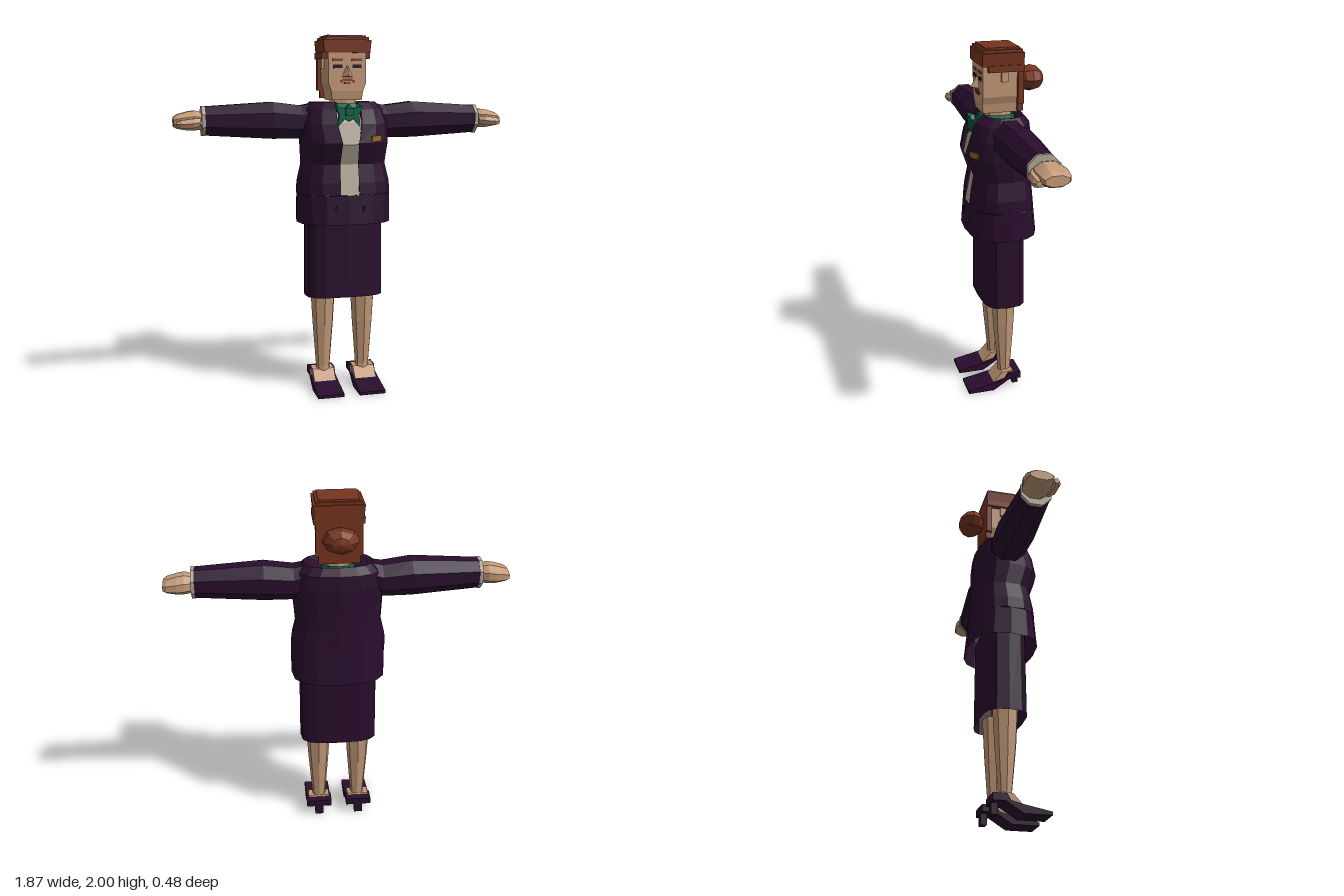
import * as THREE from 'three';

const mat = (name, color, side = THREE.FrontSide) => {
  const m = new THREE.MeshStandardMaterial({ color, flatShading: true, side });
  m.name = name;
  return m;
};

// Skin a list of rings (each a list of [x, y, z]); closed rings may be capped.
function loft(rings, { closed = true, caps = true } = {}) {
  const n = rings[0].length, pos = [];
  const tri = (a, b, c) => pos.push(...a, ...b, ...c);
  for (let i = 0; i < rings.length - 1; i++) {
    for (let j = 0; j < (closed ? n : n - 1); j++) {
      const k = (j + 1) % n, A = rings[i], B = rings[i + 1];
      tri(A[j], A[k], B[k]);
      tri(A[j], B[k], B[j]);
    }
  }
  if (closed && caps) {
    [rings[0], rings[rings.length - 1]].forEach((r, end) => {
      const c = [0, 1, 2].map(a => r.reduce((s, p) => s + p[a], 0) / n);
      for (let j = 0; j < n; j++) {
        const k = (j + 1) % n;
        if (end) tri(c, r[j], r[k]); else tri(c, r[k], r[j]);
      }
    });
  }
  const g = new THREE.BufferGeometry();
  g.setAttribute('position', new THREE.Float32BufferAttribute(pos, 3));
  g.computeVertexNormals();
  return g;
}

const spow = (v, p) => Math.sign(v) * Math.abs(v) ** p;

// Horizontal rounded ring, optionally open at the front by a half gap.
function bodyRing([y, hw, zf, zb, gap = 0], n, p = 0.75, cx = 0) {
  const a0 = gap ? Math.asin((gap / hw) ** (1 / p)) : 0;
  const pts = [];
  for (let i = 0; i <= n; i++) {
    const a = a0 + (2 * Math.PI - 2 * a0) * i / n;
    pts.push([cx + hw * spow(Math.sin(a), p), y, (zf + zb) / 2 + (zf - zb) / 2 * spow(Math.cos(a), p)]);
  }
  return pts;
}

// Vertical ring around the x axis, for arms and hands.
function armRing([x, cy, cz, hy, hz], n = 8) {
  return Array.from({ length: n }, (_, i) => {
    const a = (i + 0.5) / n * 2 * Math.PI, s = 1 / Math.cos(Math.PI / n);
    return [x, cy + hy * s * Math.cos(a), cz + hz * s * Math.sin(a)];
  });
}

const boxRing = ([y, hw, zf, zb]) => [[-hw, y, zf], [hw, y, zf], [hw, y, zb], [-hw, y, zb]];

// Side profile given as [z, y], extruded across x.
function sideExtrude(points, width, cx) {
  const s = new THREE.Shape(points.map(p => new THREE.Vector2(...p)));
  return new THREE.ExtrudeGeometry(s, { depth: width, bevelEnabled: false })
    .translate(0, 0, -width / 2).rotateY(-Math.PI / 2).translate(cx, 0, 0);
}

export function createModel() {
  const purple = mat('suit purple', 0x290e2d, THREE.DoubleSide);
  const skin = mat('skin', 0xc49a78);
  const hair = mat('auburn hair', 0x763520);
  const cream = mat('shirt cream', 0xb3a898, THREE.DoubleSide);
  const green = mat('scarf green', 0x0d6446, THREE.DoubleSide);
  const gold = mat('badge gold', 0x927020);
  const dark = mat('eye dark', 0x24131c);
  const lip = mat('lip red', 0x8a4030);

  const root = new THREE.Group();
  const add = (parent, name, geo, m) => {
    const mesh = new THREE.Mesh(geo, m);
    mesh.name = name;
    parent.add(mesh);
    return mesh;
  };
  const box = (parent, name, m, x0, x1, y0, y1, z0, z1) => add(parent, name,
    new THREE.BoxGeometry(x1 - x0, y1 - y0, z1 - z0)
      .translate((x0 + x1) / 2, (y0 + y1) / 2, (z0 + z1) / 2), m);

  // Jacket, open over the shirt and closed below it: y, half width, front z, back z, gap
  const jacket = [
    [0.97, 0.265, 0.205, -0.185], [1.13, 0.265, 0.19, -0.168], [1.135, 0.265, 0.19, -0.168, 0.052],
    [1.2, 0.262, 0.183, -0.162, 0.052], [1.3, 0.238, 0.165, -0.155, 0.05], [1.42, 0.248, 0.207, -0.152, 0.045],
    [1.52, 0.25, 0.185, -0.152, 0.068], [1.6, 0.225, 0.155, -0.145, 0.07], [1.64, 0.185, 0.11, -0.11, 0.06],
    [1.61, 0.09, 0.085, -0.075, 0.04]];
  add(root, 'jacket', loft(jacket.map(r => bodyRing(r, 16)), { closed: false }), purple);

  // Skirt
  add(root, 'skirt', loft([[0.545, 0.223, 0.135, -0.115], [1.05, 0.22, 0.13, -0.112]]
    .map(r => bodyRing(r, 16, 0.6)), { closed: false }), purple);

  // Shirt front: y, half width, z
  const shirt = [[1.13, 0.052, 0.187], [1.3, 0.056, 0.15], [1.41, 0.05, 0.193],
    [1.53, 0.072, 0.158], [1.62, 0.07, 0.085]];
  add(root, 'shirtFront', loft(shirt.map(([y, w, z]) => [[-w, y, z], [w, y, z]]), { closed: false }), cream);

  // Scarf around the neck with a knotted bow
  add(root, 'scarfBand', loft([[1.585, 0.1, 0.135, -0.085], [1.635, 0.085, 0.115, -0.075]]
    .map(r => bodyRing(r, 12)), { closed: false }), green);
  const bow = new THREE.Shape([[-0.065, 1.5], [-0.025, 1.55], [0, 1.535], [0.025, 1.55], [0.065, 1.5],
    [0.055, 1.57], [0.075, 1.62], [0.02, 1.605], [0, 1.63], [-0.02, 1.605], [-0.075, 1.62], [-0.055, 1.57]]
    .map(p => new THREE.Vector2(...p)));
  add(root, 'scarfBow', new THREE.ExtrudeGeometry(bow, { depth: 0.025, bevelEnabled: false })
    .translate(0, 0, 0.14), green);
  box(root, 'scarfKnot', green, -0.022, 0.022, 1.565, 1.605, 0.14, 0.175);

  // Name badge
  const badge = add(root, 'badge', new THREE.BoxGeometry(0.065, 0.028, 0.009), gold);
  badge.position.set(0.15, 1.443, 0.183);
  badge.rotation.y = 0.42;

  // Head, neck and nose
  add(root, 'neck', loft([[1.57, 0.075, 0.085, -0.065], [1.68, 0.075, 0.085, -0.065]]
    .map(r => bodyRing(r, 8).slice(0, -1))), skin);
  add(root, 'head', loft([[1.65, 0.083, 0.113, -0.075], [1.7, 0.09, 0.12, -0.085], [1.74, 0.105, 0.12, -0.085],
    [1.93, 0.107, 0.12, -0.085]].map(boxRing)), skin);
  add(root, 'nose', loft([
    [[-0.03, 1.775, 0.119], [0, 1.78, 0.163], [0.03, 1.775, 0.119]],
    [[-0.004, 1.835, 0.119], [0, 1.835, 0.125], [0.004, 1.835, 0.119]]]), skin);

  // Hair: stepped crown, back panel and bun
  add(root, 'hairCrown', loft([[1.905, 0.128, 0.127, -0.1], [1.975, 0.135, 0.127, -0.1],
    [1.975, 0.122, 0.118, -0.092], [1.99, 0.122, 0.118, -0.092], [1.99, 0.108, 0.105, -0.08],
    [2.0, 0.108, 0.105, -0.08]].map(boxRing)), hair);
  box(root, 'hairBack', hair, -0.125, 0.125, 1.7, 1.92, -0.1, -0.068);
  box(root, 'hairNape', hair, -0.11, 0.11, 1.66, 1.7, -0.1, -0.07);
  add(root, 'hairBun', new THREE.SphereGeometry(1, 8, 6).rotateX(Math.PI / 2)
    .scale(0.1, 0.072, 0.075).translate(0, 1.812, -0.168), hair);

  // Mouth
  box(root, 'upperLip', lip, -0.028, 0.028, 1.753, 1.767, 0.119, 0.126);
  box(root, 'lowerLip', lip, -0.018, 0.018, 1.738, 1.747, 0.119, 0.125);

  // Everything that comes in pairs
  for (const side of [1, -1]) {
    const half = new THREE.Group();
    half.name = side > 0 ? 'leftSide' : 'rightSide';
    half.scale.x = side;
    root.add(half);

    // Face and side hair
    box(half, 'brow', lip, 0.025, 0.082, 1.86, 1.874, 0.119, 0.126);
    box(half, 'eye', dark, 0.028, 0.08, 1.824, 1.842, 0.119, 0.124);
    box(half, 'eyeWhite', cream, 0.032, 0.076, 1.818, 1.824, 0.119, 0.123);
    box(half, 'mouthCorner', lip, 0.026, 0.042, 1.744, 1.758, 0.119, 0.125);
    box(half, 'sideHair', hair, 0.1, 0.135, 1.875, 1.91, -0.1, 0.095);
    box(half, 'ear', skin, 0.1, 0.122, 1.82, 1.876, -0.015, 0.02);

    // Sleeve, cuff and hand
    add(half, 'sleeve', loft([[0.16, 1.55, 0, 0.085, 0.085], [0.24, 1.53, 0, 0.09, 0.095],
      [0.4, 1.54, 0.004, 0.1, 0.1], [0.775, 1.54, 0.008, 0.077, 0.077]].map(r => armRing(r))), purple);
    add(half, 'cuff', loft([[0.768, 1.54, 0.008, 0.08, 0.082], [0.787, 1.54, 0.008, 0.08, 0.082]]
      .map(r => armRing(r))), cream);
    add(half, 'hand', loft([[0.78, 1.54, 0, 0.045, 0.062], [0.82, 1.543, -0.003, 0.053, 0.076],
      [0.86, 1.54, -0.005, 0.05, 0.078], [0.915, 1.537, -0.005, 0.038, 0.072],
      [0.935, 1.535, -0.005, 0.026, 0.06]].map(r => armRing(r))), skin);
    add(half, 'thumb', loft([[0.795, 1.535, 0.06, 0.022, 0.025], [0.83, 1.53, 0.08, 0.025, 0.022],
      [0.895, 1.525, 0.083, 0.022, 0.02], [0.92, 1.525, 0.078, 0.014, 0.012]].map(r => armRing(r, 6))), skin);

    // Jacket pocket flap
    const flap = add(half, 'pocketFlap', new THREE.BoxGeometry(0.08, 0.035, 0.008), purple);
    flap.position.set(0.11, 1.055, 0.178);
    flap.rotation.y = 0.35;

    // Leg
    add(half, 'leg', loft([[0.08, 0.04, 0.045, -0.03], [0.12, 0.04, 0.045, -0.03], [0.38, 0.06, 0.07, -0.05],
      [0.6, 0.073, 0.082, -0.062]].map(r => bodyRing(r, 8, 0.8, 0.117).slice(0, -1))), skin);

    // Foot and heeled shoe
    add(half, 'foot', sideExtrude([[0.1, 0.035], [0.08, 0.055], [0.035, 0.105], [-0.03, 0.11],
      [-0.045, 0.07], [0.0, 0.06]], 0.125, 0.12), skin);
    add(half, 'shoe', sideExtrude([[0.24, 0], [0.24, 0.018], [0.075, 0.05], [0.02, 0.065], [0, 0.1],
      [-0.075, 0.1], [-0.075, 0.06], [-0.005, 0.06], [0.07, 0.012], [0.09, 0]], 0.15, 0.12), purple);
    box(half, 'shoeHeel', purple, 0.095, 0.145, 0, 0.07, -0.072, -0.038);
  }
  return root;
}
